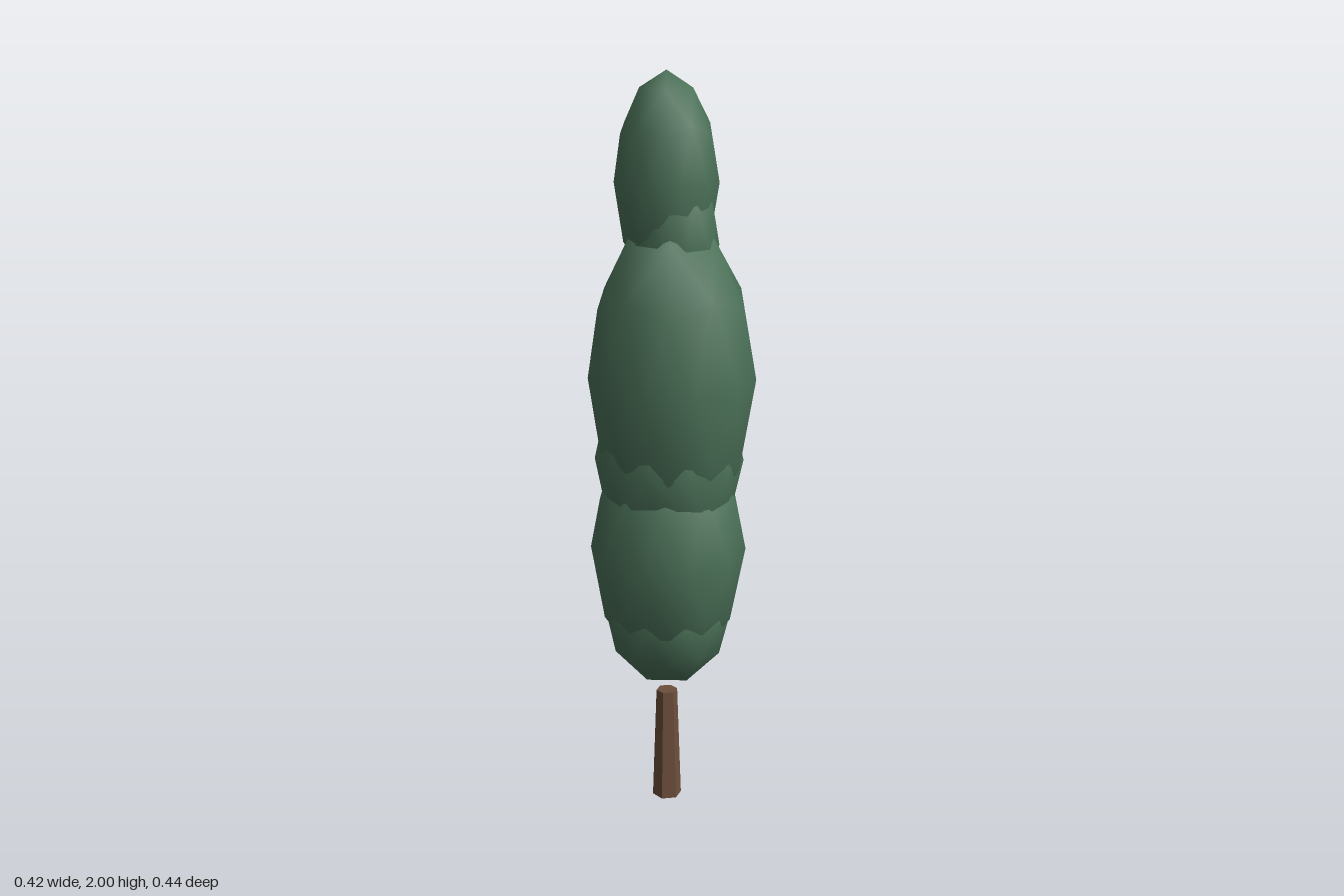
import * as THREE from 'three';
import { mergeVertices } from 'three/addons/utils/BufferGeometryUtils.js';

// Smooth low-poly sphere with a vertex at each pole and a ten-sided equator
function unitBlob() {
  const g = new THREE.IcosahedronGeometry(1, 1);
  g.deleteAttribute('uv');
  g.deleteAttribute('normal');
  g.rotateX(-Math.atan2(1 + Math.sqrt(5), 2));
  g.rotateY(Math.PI / 2);
  return mergeVertices(g, 1e-4);
}

export function createModel() {
  const tree = new THREE.Group();
  tree.name = 'cypressTree';

  const foliage = new THREE.MeshStandardMaterial({ color: 0x4c7259 });
  foliage.name = 'foliageGreen';
  const bark = new THREE.MeshStandardMaterial({ color: 0x6e4f3c });
  bark.name = 'barkBrown';

  // Tapered six-sided trunk
  const trunkGeometry = new THREE.CylinderGeometry(0.029, 0.04, 0.32, 6).toNonIndexed();
  trunkGeometry.computeVertexNormals();
  const trunk = new THREE.Mesh(trunkGeometry, bark);
  trunk.name = 'trunk';
  trunk.position.set(-0.014, 0.16, 0.002);
  tree.add(trunk);

  // Overlapping foliage clumps: name, centre x, y, z, radius, half height
  const clumps = [
    ['bottomClump', -0.01, 0.567, 0.003, 0.174, 0.217],
    ['lowerClump', -0.01, 0.74, 0.002, 0.209, 0.35],
    ['lowerMiddleClump', -0.008, 0.99, 0.0, 0.198, 0.29],
    ['middleClump', 0, 1.21, 0, 0.221, 0.44],
    ['upperMiddleClump', 0.002, 1.565, -0.008, 0.117, 0.24],
    ['topClump', -0.021, 1.72, -0.018, 0.135, 0.28],
  ];
  for (const [name, x, y, z, radius, halfHeight] of clumps) {
    const g = unitBlob();
    g.scale(radius, halfHeight, radius);
    g.computeVertexNormals();
    const clump = new THREE.Mesh(g, foliage);
    clump.name = name;
    clump.position.set(x, y, z);
    tree.add(clump);
  }
  return tree;
}
